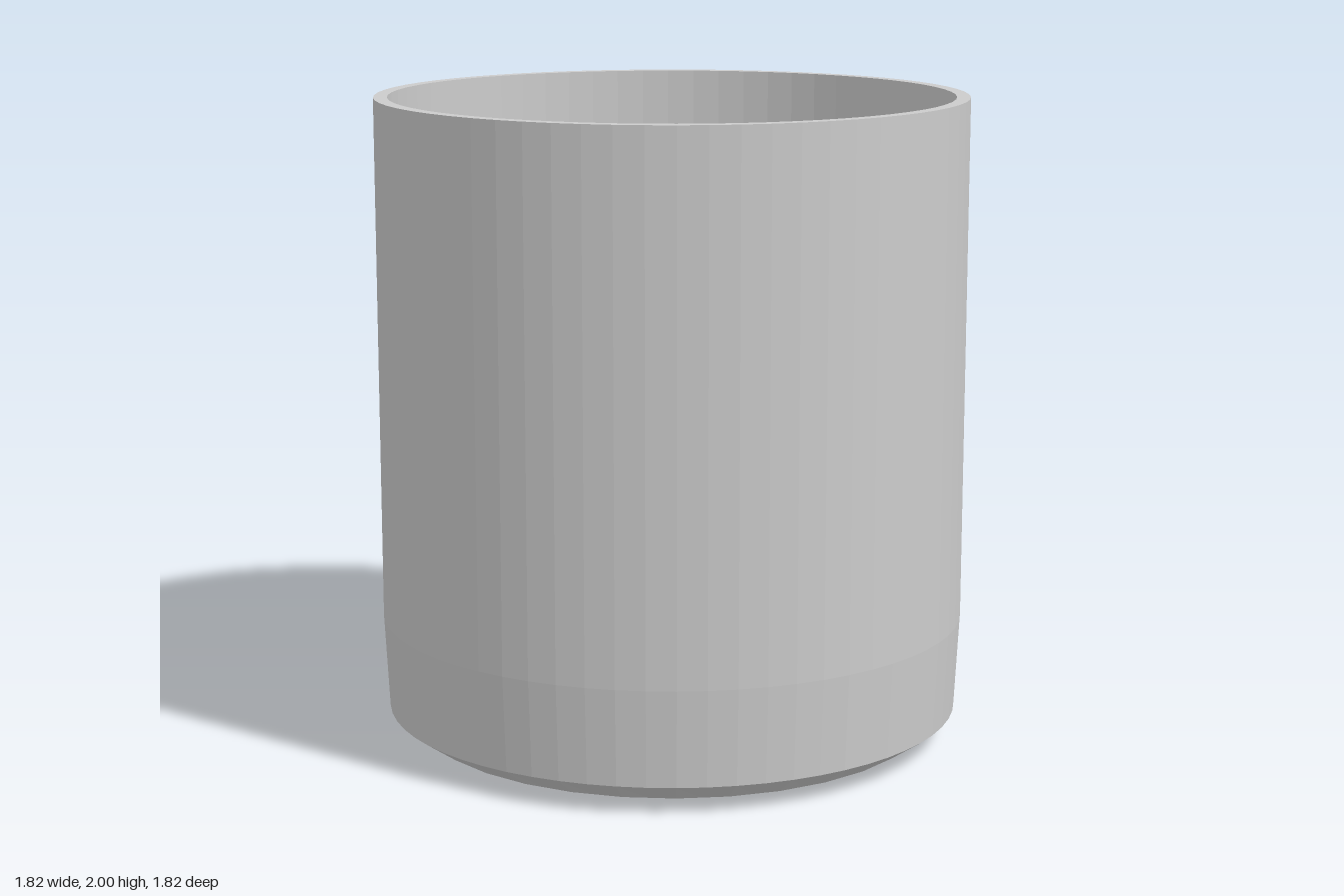
import * as THREE from 'three';

const SIDES = 64;

export function createModel() {
  const group = new THREE.Group();
  group.name = 'cup';
  const material = new THREE.MeshStandardMaterial({ color: 0xcccccc, flatShading: true });

  // Closed wall section: underside, outer wall, rim, inner wall, floor
  const profile = [
    [0, 0], [0.6, 0.008], [0.8, 0.02],
    [0.895, 0.085], [0.91, 0.38], [0.91, 2],
    [0.868, 2], [0.868, 0.39], [0.856, 0.115],
    [0.785, 0.065], [0.6, 0.055], [0, 0.047],
  ].map(([r, y]) => new THREE.Vector2(r, y));
  const geometry = new THREE.LatheGeometry(profile, SIDES);

  // The base rings have half as many sides: pull every other vertex onto its chord
  const pos = geometry.attributes.position;
  const baseRings = [1, 2, 9, 10];
  const chord = Math.cos((2 * Math.PI) / SIDES);
  for (let i = 0; i <= SIDES; i += 2) {
    for (const ring of baseRings) {
      const v = i * profile.length + ring;
      pos.setX(v, pos.getX(v) * chord);
      pos.setZ(v, pos.getZ(v) * chord);
    }
  }

  const body = new THREE.Mesh(geometry, material);
  body.name = 'cupBody';
  group.add(body);
  return group;
}
